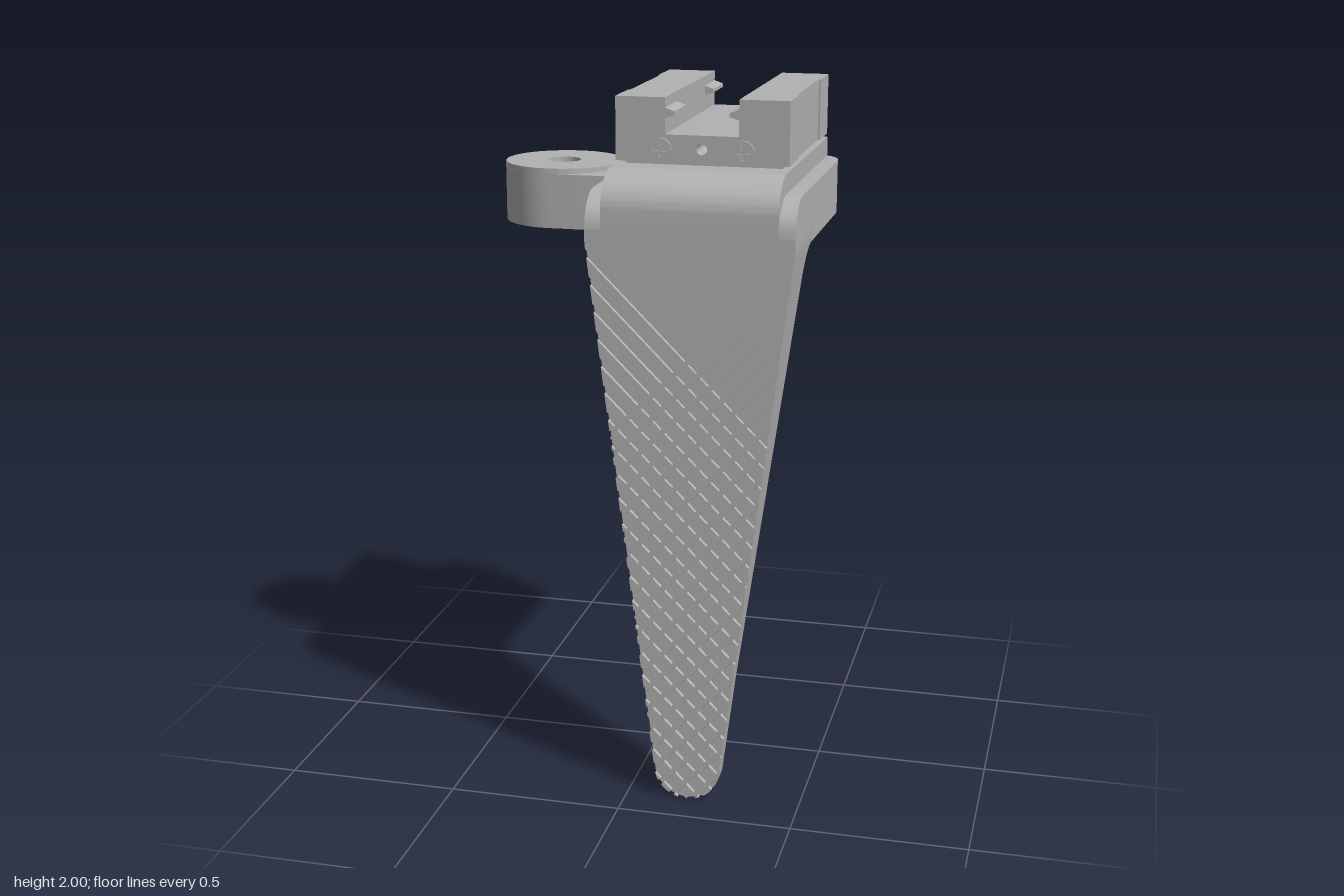
import * as THREE from 'three';
import { mergeGeometries, toCreasedNormals } from 'three/addons/utils/BufferGeometryUtils.js';

const CX = 0.176;       // centre line of leg and clamp
const FRONT = 0.395;    // front face
const GROOVE = 0.013;   // grip groove depth
const BEND_Y = 1.66;    // where the front face starts to curve back
const R_TIP = 0.096;

// Half width of the leg at height y: round tip, straight taper, constant head
function halfWidth(y) {
  if (y < R_TIP) return Math.max(0.004, Math.sqrt(R_TIP ** 2 - (R_TIP - y) ** 2));
  return R_TIP + (0.288 - R_TIP) * Math.min(1, (y - R_TIP) / (1.62 - R_TIP));
}

// Rectangular cross-sections [y, back z, front z] joined into a closed solid
function loft(rows) {
  const pos = [], idx = [];
  rows.forEach(([y, zb, zf], r) => {
    const w = halfWidth(y);
    pos.push(CX - w, y, zf, CX + w, y, zf, CX + w, y, zb, CX - w, y, zb);
    if (r === 0) return;
    for (let k = 0; k < 4; k++) {
      const a = (r - 1) * 4 + k, b = (r - 1) * 4 + (k + 1) % 4;
      idx.push(a, b, b + 4, a, b + 4, a + 4);
    }
  });
  const t = (rows.length - 1) * 4;
  idx.push(0, 2, 1, 0, 3, 2, t, t + 1, t + 2, t, t + 2, t + 3);
  const g = new THREE.BufferGeometry();
  g.setAttribute('position', new THREE.Float32BufferAttribute(pos, 3));
  g.setIndex(idx);
  return toCreasedNormals(g, 0.5);
}

// Keep the part of a convex polygon where f >= 0
function clip(poly, f) {
  const out = [];
  poly.forEach((p, i) => {
    const q = poly[(i + 1) % poly.length], a = f(p), b = f(q);
    if (a >= 0) out.push(p);
    if ((a >= 0) !== (b >= 0)) out.push(p.clone().lerp(q, a / (a - b)));
  });
  return out;
}

const extrude = (shape, depth, curveSegments = 12) =>
  new THREE.ExtrudeGeometry(shape, { depth, bevelEnabled: false, curveSegments });

const circle = (x, y, r, Type = THREE.Path) => {
  const c = new Type();
  c.absarc(x, y, r, 0, Math.PI * 2, false);
  return c;
};

// Plan shape (x, z) extruded between two heights
function slab(shape, y0, y1) {
  const g = extrude(shape, y1 - y0);
  g.rotateX(Math.PI / 2).translate(0, y1, 0);
  return toCreasedNormals(g, 0.6);
}

// Diamond grip: two families of diagonal strips, crossed and cut to the leg outline
function gripGeometry() {
  const ys = [];
  for (let i = 0; i <= 8; i++) ys.push(R_TIP * (1 - Math.cos(i / 8 * Math.PI / 2)));
  ys.push(1.62, BEND_Y);
  const outline = [
    ...ys.map(y => new THREE.Vector2(CX + halfWidth(y), y)),
    ...ys.slice().reverse().map(y => new THREE.Vector2(CX - halfWidth(y), y)),
  ];
  const pitch = 0.066, gap = 0.021, top = 1.32, count = 22;
  const strip = k => k === 0 ? [top, 9] : [top - k * pitch, top - (k - 1) * pitch - gap];
  const cells = [];
  for (let i = 0; i < count; i++) {
    const [u0, u1] = strip(i);
    const u = p => p.y + p.x - CX;
    const band = clip(clip(outline, p => u(p) - u0), p => u1 - u(p));
    for (let j = 0; j < count; j++) {
      const [v0, v1] = strip(j);
      const v = p => p.y - p.x + CX;
      const cell = clip(clip(band, p => v(p) - v0), p => v1 - v(p));
      if (cell.length < 3 || Math.abs(THREE.ShapeUtils.area(cell)) < 1e-5) continue;
      cells.push(extrude(new THREE.Shape(cell), GROOVE + 0.002));
    }
  }
  return mergeGeometries(cells).translate(0, 0, FRONT - GROOVE - 0.002);
}

// Clamp cross-section: a channel with optional teeth and a centre hole
function clampShape(w, tooth) {
  const half = [[w, 1.825], [w, 2], [0.102, 2], [0.102, 1.972], [0.102 - tooth, 1.963],
    [0.102 - tooth, 1.953], [0.102, 1.944], [0.102, 1.9]];
  const pts = [...half, ...half.slice().reverse().map(([x, y]) => [-x, y])];
  const s = new THREE.Shape(pts.map(([x, y]) => new THREE.Vector2(x + CX, y)));
  s.holes.push(circle(CX, 1.862, 0.015));
  return s;
}

// Screw head with a cross-shaped recess
function screwShape() {
  const s = circle(0, 0, 0.031, THREE.Shape);
  const a = 0.005, b = 0.021;
  s.holes.push(new THREE.Path([[a, a], [a, b], [-a, b], [-a, a], [-b, a], [-b, -a],
    [-a, -a], [-a, -b], [a, -b], [a, -a], [b, -a], [b, a]].map(p => new THREE.Vector2(...p))));
  return s;
}

export function createModel() {
  const model = new THREE.Group();
  const grey = new THREE.MeshStandardMaterial({ color: 0xb2b2b2 });
  const add = (name, geometry) => {
    const mesh = new THREE.Mesh(geometry, grey);
    mesh.name = name;
    model.add(mesh);
    return mesh;
  };

  // Leg with rounded tip, inner fillet and rounded front bend
  const rows = [], base = FRONT - GROOVE;
  for (let i = 0; i <= 8; i++) rows.push([R_TIP * (1 - Math.cos(i / 8 * Math.PI / 2)), 0.335, base]);
  rows.push([0.37, 0.335, base], [1.5, 0.207, base]);
  for (let i = 1; i <= 6; i++) {
    const a = i / 6 * Math.PI / 2;
    rows.push([1.5 + 0.105 * Math.sin(a), 0.207 - 0.09 * (1 - Math.cos(a)), base]);
  }
  rows.push([1.62, 0.117, base], [BEND_Y, 0.117, base]);
  for (let i = 0; i <= 8; i++) {
    const a = i / 8 * Math.PI / 2;
    rows.push([BEND_Y + 0.1 * Math.sin(a), 0.117, FRONT - 0.1 * (1 - Math.cos(a))]);
  }
  add('leg', loft(rows));
  add('diamondGrip', gripGeometry());

  // Mounting plate with side lug and screw holes
  const plan = new THREE.Shape();
  plan.moveTo(-0.112, 0.13);
  plan.lineTo(0.464, 0.13);
  plan.lineTo(0.464, -0.3);
  plan.quadraticCurveTo(0.46, -0.37, 0.41, -0.388);
  plan.lineTo(-0.06, -0.388);
  plan.quadraticCurveTo(-0.1, -0.365, -0.106, -0.31);
  plan.quadraticCurveTo(-0.12, -0.215, -0.2, -0.21);
  plan.lineTo(-0.293, -0.21);
  plan.absarc(-0.293, -0.04, 0.17, -Math.PI / 2, -Math.PI * 1.5, true);
  plan.holes.push(circle(-0.293, -0.04, 0.047));
  for (const x of [-0.175, 0.175]) for (const z of [-0.16, 0.06]) {
    plan.holes.push(circle(CX + x, z, 0.048));
  }
  add('mountingPlate', slab(plan, 1.605, 1.76));

  // Raised round face on the lug
  const boss = circle(-0.293, -0.04, 0.17, THREE.Shape);
  boss.holes.push(circle(-0.293, -0.04, 0.047));
  add('lugBoss', slab(boss, 1.75, 1.775));

  // Raised centre pad that curves down into the front
  const side = new THREE.Shape();
  side.moveTo(0.388, 1.7);
  side.lineTo(0.388, 1.815);
  side.lineTo(-0.29, 1.815);
  side.absarc(-0.29, 1.71, 0.106, Math.PI / 2, Math.PI, false);
  side.lineTo(-0.396, BEND_Y);
  side.lineTo(-0.25, BEND_Y);
  side.lineTo(-0.25, 1.7);
  const pad = extrude(side, 0.486);
  pad.rotateY(Math.PI / 2).translate(CX - 0.243, 0, 0);
  add('raisedPad', toCreasedNormals(pad, 0.5));

  // Rail clamp: toothed end blocks around a slightly narrower middle
  for (const [name, w, tooth, z, len] of [['clampBack', 0.241, 0.026, -0.388, 0.136],
    ['clampMiddle', 0.235, 0, -0.252, 0.355], ['clampFront', 0.241, 0.026, 0.103, 0.137]]) {
    add(name, extrude(clampShape(w, tooth), len).translate(0, 0, z));
  }
  const spacer = add('clampSpacer', new THREE.BoxGeometry(0.44, 0.02, 0.58));
  spacer.position.set(CX, 1.82, -0.074);

  // Screws at both ends of the clamp
  for (const x of [-0.115, 0.115]) {
    for (const z of [0.238, -0.396]) {
      add('clampScrew', extrude(screwShape(), 0.01)).position.set(CX + x, 1.86, z);
    }
  }
  return model;
}
